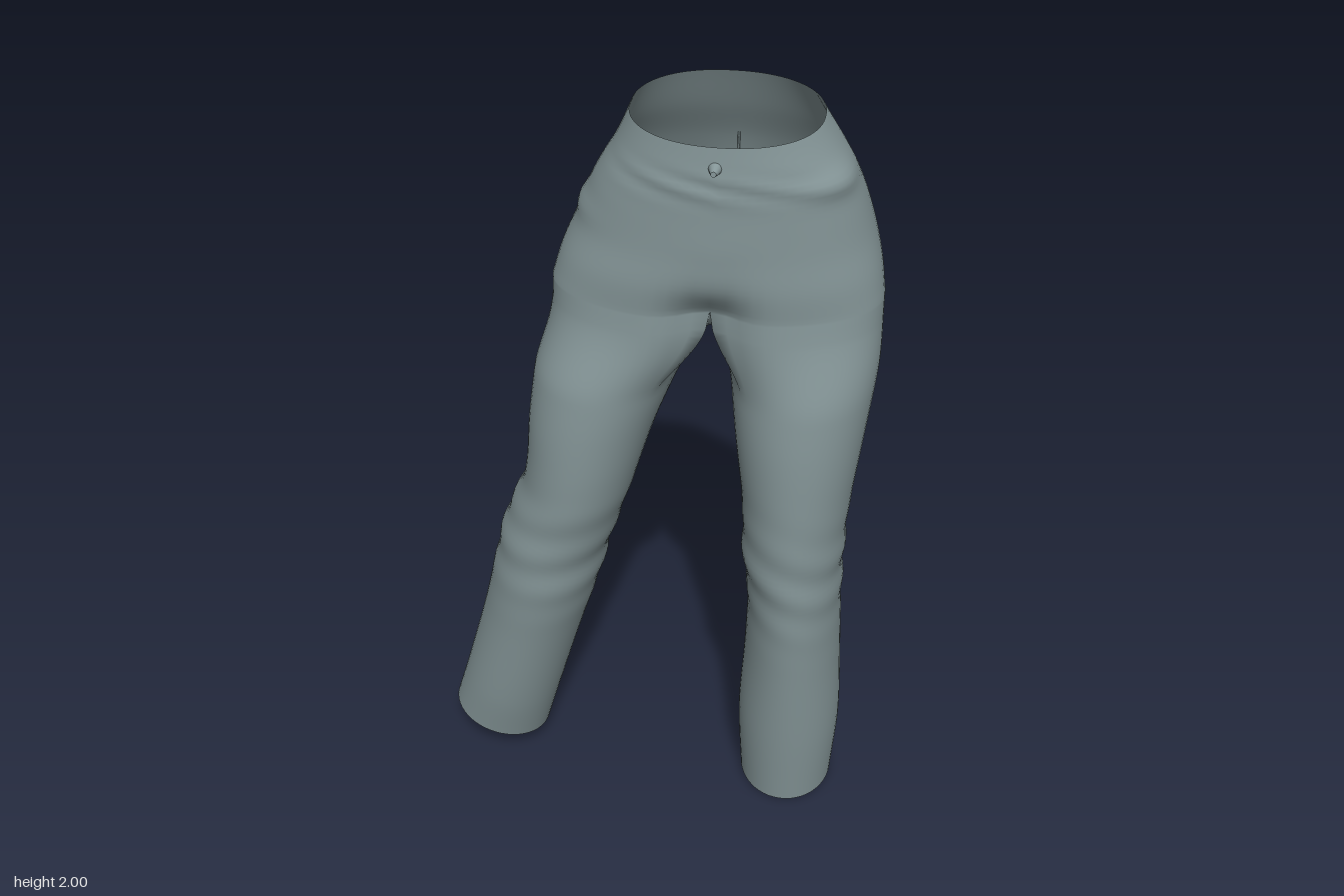
import * as THREE from 'three';
import { mergeGeometries, mergeVertices } from 'three/addons/utils/BufferGeometryUtils.js';

const HALF = 40, INNER = 12, SPLIT = 1.55;

// Pelvis sections: y, centre x, half width, front z, back z, front groove, back groove
const PELVIS = [
  [2.0, 0.18, 0.2, 0.212, -0.09, 0, 0],
  [1.9, 0.185, 0.245, 0.215, -0.14, 0, 0],
  [1.8, 0.18, 0.29, 0.21, -0.2, 0, 0.02],
  [1.7, 0.175, 0.325, 0.205, -0.242, 0, 0.07],
  [1.62, 0.168, 0.352, 0.202, -0.232, 0.06, 0.14],
  [1.55, 0.163, 0.368, 0.192, -0.205, 0.28, 0.3],
];
// Leg sections: y, centre x, half width, front z, back z, sideways tilt, lengthwise tilt
const LEFT = [
  [1.55, 0.36, 0.18, 0.19, -0.19, 0, 0],
  [1.4, 0.365, 0.17, 0.19, -0.17, 0, 0],
  [1.2, 0.365, 0.15, 0.195, -0.155, 0, 0],
  [1.0, 0.367, 0.128, 0.185, -0.145, 0, 0],
  [0.85, 0.367, 0.122, 0.17, -0.145, 0, -0.03],
  [0.7, 0.375, 0.116, 0.15, -0.185, 0, -0.06],
  [0.5, 0.378, 0.122, 0.118, -0.21, 0, -0.09],
  [0.25, 0.378, 0.132, 0.08, -0.228, 0, -0.09],
  [0.015, 0.378, 0.122, 0.04, -0.24, 0, -0.09],
];
const RIGHT = [
  [1.55, -0.03, 0.18, 0.19, -0.19, 0, 0],
  [1.4, -0.065, 0.173, 0.19, -0.17, 0, 0],
  [1.2, -0.117, 0.148, 0.19, -0.155, -0.06, 0],
  [1.0, -0.158, 0.128, 0.175, -0.15, -0.12, 0],
  [0.85, -0.21, 0.13, 0.15, -0.165, -0.2, -0.03],
  [0.7, -0.25, 0.13, 0.13, -0.2, -0.25, -0.06],
  [0.5, -0.303, 0.125, 0.09, -0.222, -0.26, -0.06],
  [0.25, -0.372, 0.125, 0.04, -0.235, -0.26, -0.06],
  [0.097, -0.415, 0.127, 0.0, -0.24, -0.26, -0.06],
];

// Smooth interpolation of a section table (descending y)
function section(table, y) {
  let i = 0;
  while (i < table.length - 2 && y < table[i + 1][0]) i++;
  const a = table[i], b = table[i + 1], h = b[0] - a[0], t = (y - a[0]) / h;
  const slope = (k, c) => {
    const p = table[Math.max(k - 1, 0)], q = table[Math.min(k + 1, table.length - 1)];
    return (q[c] - p[c]) / (q[0] - p[0]);
  };
  const t2 = t * t, t3 = t2 * t;
  return a.map((_, c) => (2 * t3 - 3 * t2 + 1) * a[c] + (t3 - 2 * t2 + t) * h * slope(i, c)
    + (3 * t2 - 2 * t3) * b[c] + (t3 - t2) * h * slope(i + 1, c));
}

const bell = (v, centre, width) => Math.exp(-(((v - centre) / width) ** 2));

// Point on the pelvis; angle runs from centre front over the side to centre back
function pelvisPoint(y, angle, side) {
  const [, cx, w, front, back, gFront, gBack] = section(PELVIS, y);
  const s = Math.sin(angle), c = Math.cos(angle), cz = (front + back) / 2;
  const dx = w * Math.pow(Math.max(s, 0), 0.92);
  let z = cz + ((front - back) / 2) * Math.sign(c) * Math.pow(Math.abs(c), 0.9);
  z -= (c > 0 ? gFront * front : gBack * back) * bell(dx, 0, 0.075);
  let x = cx + side * dx;
  // pocket fold on the hip and a slight gather below the waistband
  const fold = side > 0 ? bell(y, 1.87, 0.035) * bell(angle, 1.1, 0.4) * 0.014
    : bell(y, 1.74, 0.025) * bell(angle, 1.5, 0.4) * 0.008;
  x += side * fold * s;
  z += fold * c + 0.003 * Math.sin(y * 90 + x * 25) * bell(y, 1.88, 0.04) * Math.max(c, 0);
  const rim = THREE.MathUtils.smoothstep(y, 1.8, 2) * 0.13 * (z + 0.09);
  return new THREE.Vector3(x, y - rim, z);
}

// Point on a leg, with creases around the back of the knee
function legPoint(table, y, angle, side) {
  const [, cx, w, front, back, tiltX, tiltZ] = section(table, y);
  const s = Math.sin(angle), c = Math.cos(angle);
  const knee = bell(y, 0.82, 0.14) * (0.35 + 0.65 * THREE.MathUtils.smoothstep(-c, -0.3, 0.8));
  const crease = 0.009 * knee * Math.sin(y * 48 + s * 2.5 + side);
  const dx = side * (w + crease) * s, dz = ((front - back) / 2 + crease) * c;
  return new THREE.Vector3(cx + dx, y + tiltX * dx + tiltZ * dz, (front + back) / 2 + dz);
}

// Skin a list of equal rows of points
function skin(rows, closed, flip) {
  const n = rows[0].length, index = [];
  for (let r = 0; r < rows.length - 1; r++) {
    for (let i = 0; i < (closed ? n : n - 1); i++) {
      const a = r * n + i, b = r * n + ((i + 1) % n), c = a + n, d = b + n;
      if (flip) index.push(a, b, c, b, d, c);
      else index.push(a, c, b, b, c, d);
    }
  }
  const geometry = new THREE.BufferGeometry();
  geometry.setAttribute('position', new THREE.Float32BufferAttribute(
    rows.flat().flatMap((p) => [p.x, p.y, p.z]), 3));
  geometry.setIndex(index);
  return geometry;
}

function halfPelvis(side) {
  const rows = [];
  for (let r = 0; r <= 30; r++) {
    const y = THREE.MathUtils.lerp(2, SPLIT, r / 30);
    rows.push(Array.from({ length: HALF + 1 }, (_, i) => pelvisPoint(y, (Math.PI * i) / HALF, side)));
  }
  return skin(rows, false, side < 0);
}

function leg(table, side) {
  // opening at the top: half of the pelvis edge closed by the crotch arc
  const top = Array.from({ length: HALF + 1 }, (_, i) => pelvisPoint(SPLIT, (Math.PI * i) / HALF, side));
  const angles = top.map((_, i) => -50 + (280 * i) / HALF);
  const frontEnd = top[0], backEnd = top[HALF];
  for (let i = 1; i < INNER; i++) {
    const t = i / INNER, p = backEnd.clone().lerp(frontEnd, t);
    p.y -= 0.1 * Math.pow(Math.sin(Math.PI * t), 0.7);
    top.push(p);
    angles.push(230 + 80 * t);
  }
  const hem = table[table.length - 1][0], rows = [], steps = 90;
  for (let r = 0; r <= steps; r++) {
    const y = THREE.MathUtils.lerp(SPLIT, hem, r / steps);
    const blend = THREE.MathUtils.smoothstep(SPLIT - y, 0, 0.24);
    rows.push(top.map((p, i) => {
      const q = legPoint(table, y, THREE.MathUtils.degToRad(angles[i]), side);
      const start = p.clone();
      // outer columns descend evenly while the crotch columns ease in
      if (i <= HALF) start.y = THREE.MathUtils.lerp(p.y, q.y, Math.min(1, (SPLIT - y) * 20));
      return start.lerp(q, blend);
    }));
  }
  return skin(rows, true, side < 0);
}

export function createModel() {
  const model = new THREE.Group();
  model.name = 'trousers';
  const cloth = new THREE.MeshStandardMaterial({ color: 0x87989a, side: THREE.DoubleSide });
  cloth.name = 'grey blue cloth';
  const add = (name, geometry) => {
    const mesh = new THREE.Mesh(geometry, cloth);
    mesh.name = name;
    model.add(mesh);
    return mesh;
  };

  // Continuous cloth shell, open at waist and hems
  const shell = mergeVertices(mergeGeometries([
    halfPelvis(1), halfPelvis(-1), leg(LEFT, 1), leg(RIGHT, -1),
  ]), 1e-4);
  shell.computeVertexNormals();
  add('trouserShell', shell);

  // Raised seam down the seat
  const seam = [1.82, 1.75, 1.68, 1.62, 1.56].map((y) => pelvisPoint(y, Math.PI, 1));
  add('seatSeam', new THREE.TubeGeometry(new THREE.CatmullRomCurve3(seam), 24, 0.003, 6));

  // Fastening at the front of the waistband
  const button = add('waistButton', new THREE.CylinderGeometry(0.006, 0.014, 0.026, 12));
  button.rotation.x = Math.PI / 2;
  button.position.set(0.175, 1.915, 0.226);

  return model;
}
